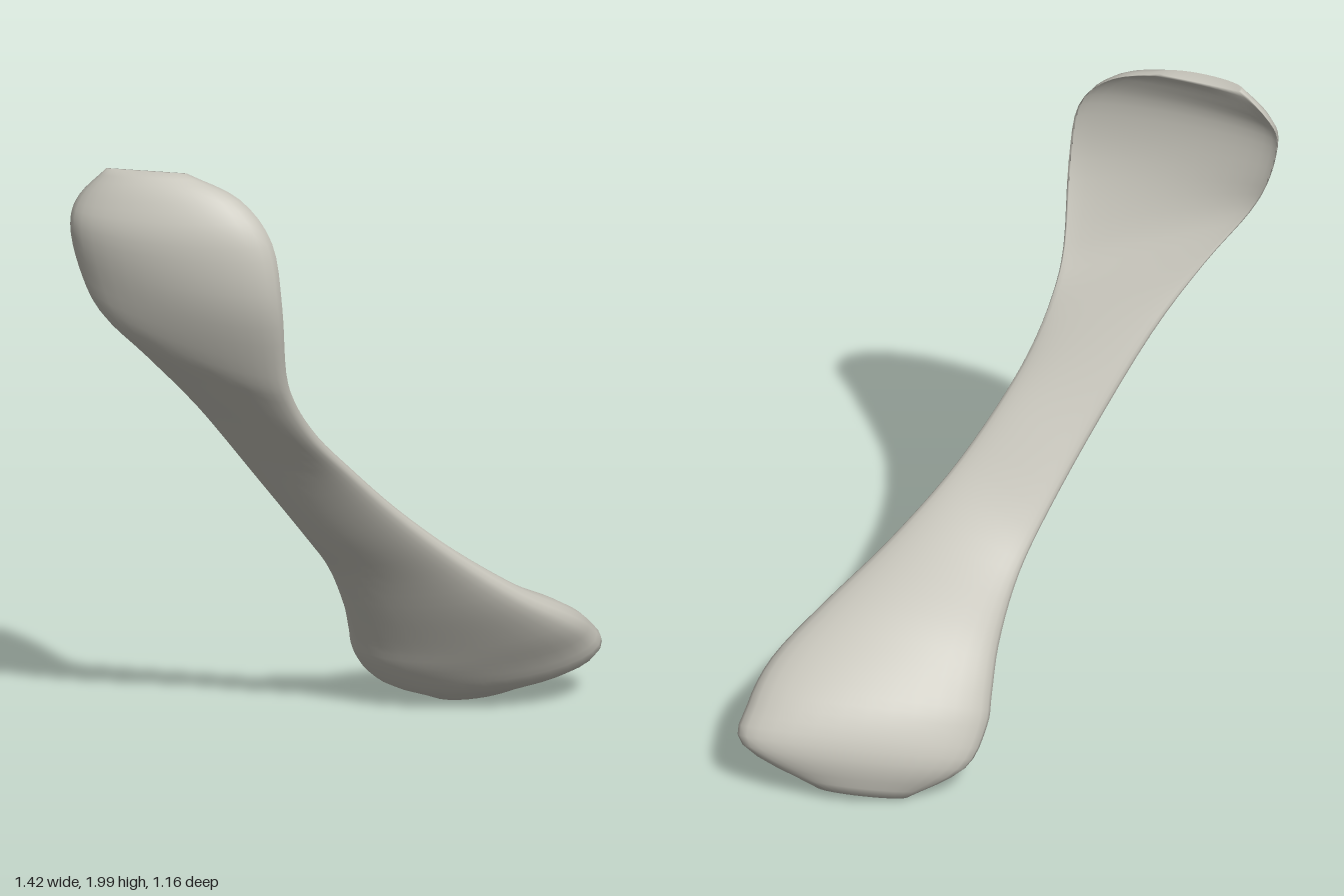
import * as THREE from 'three';

// Cross-sections from the top blade to the thick lower end:
// left edge x,y,z | right edge x,y,z | front bulge, back bulge, tilt (degrees)
const SECTIONS = [
  [-0.60, 1.99, 0.42, -0.36, 2.00, 0.45, 0.015, -0.01, -20],
  [-0.68, 1.90, 0.41, -0.20, 1.94, 0.48, 0.07, -0.045, -10],
  [-0.705, 1.82, 0.42, -0.10, 1.82, 0.51, 0.095, -0.065, 0],
  [-0.68, 1.69, 0.42, -0.07, 1.62, 0.51, 0.087, -0.055, 8],
  [-0.62, 1.56, 0.43, -0.07, 1.38, 0.43, 0.062, -0.035, 19],
  [-0.50, 1.41, 0.37, -0.05, 1.25, 0.36, 0.044, -0.01, 27],
  [-0.36, 1.21, 0.27, 0.00, 1.11, 0.27, 0.03, 0.012, 32],
  [-0.20, 0.92, 0.12, 0.08, 0.97, 0.16, 0.02, 0.02, 32],
  [-0.08, 0.68, -0.03, 0.20, 0.80, 0.04, 0.027, 0.018, 33],
  [-0.03, 0.55, -0.13, 0.36, 0.62, -0.08, 0.037, 0.037, 33],
  [0.00, 0.40, -0.22, 0.53, 0.46, -0.20, 0.055, 0.067, 33],
  [0.005, 0.28, -0.30, 0.65, 0.35, -0.33, 0.085, 0.097, 33],
  [0.01, 0.20, -0.35, 0.70, 0.26, -0.45, 0.11, 0.105, 30],
  [0.06, 0.10, -0.43, 0.70, 0.17, -0.53, 0.115, 0.075, 25],
  [0.22, 0.015, -0.48, 0.48, 0.05, -0.53, 0.05, 0.02, 10],
];

const STEPS = 4; // rows between neighbouring sections
const SIDES = 32; // points around each section
const RIM = 0.014; // half thickness of the rounded edges

function curveFrom(offset) {
  const points = SECTIONS.map((s) => new THREE.Vector3().fromArray(s, offset));
  return new THREE.CatmullRomCurve3(points, false, 'catmullrom', 0.5);
}

function boneGeometry() {
  const leftEdge = curveFrom(0);
  const rightEdge = curveFrom(3);
  const shape = curveFrom(6);
  const rows = (SECTIONS.length - 1) * STEPS;
  const positions = [];
  const index = [];

  for (let i = 0; i <= rows; i++) {
    const left = leftEdge.getPoint(i / rows);
    const right = rightEdge.getPoint(i / rows);
    const { x: front, y: back, z: tilt } = shape.getPoint(i / rows);
    const middle = left.clone().lerp(right, 0.5);
    const half = right.clone().sub(middle);
    // Thickness direction, kept square to the line between the edges
    const a = THREE.MathUtils.degToRad(tilt);
    const normal = new THREE.Vector3(0, -Math.sin(a), Math.cos(a));
    normal.projectOnPlane(half.clone().normalize()).normalize();

    for (let j = 0; j < SIDES; j++) {
      const angle = (j / SIDES) * Math.PI * 2;
      const s = Math.sin(angle);
      const rim = Math.sign(s) * Math.sqrt(Math.abs(s)) * RIM;
      const p = middle.clone()
        .addScaledVector(half, Math.cos(angle))
        .addScaledVector(normal, s * (s > 0 ? front : back) + rim);
      positions.push(p.x, p.y, p.z);
    }
  }

  // Skin between rows
  for (let i = 0; i < rows; i++) {
    for (let j = 0; j < SIDES; j++) {
      const k = (j + 1) % SIDES;
      const a = i * SIDES + j, b = i * SIDES + k;
      const c = a + SIDES, d = b + SIDES;
      index.push(a, b, c, b, d, c);
    }
  }

  // Close both ends by joining front points to the back points opposite
  const last = rows * SIDES;
  for (let j = 0; j < SIDES / 2; j++) {
    const a = j, b = j + 1;
    const c = (SIDES - j) % SIDES, d = SIDES - j - 1;
    index.push(a, c, b, b, c, d);
    index.push(last + a, last + b, last + c, last + b, last + d, last + c);
  }

  const geometry = new THREE.BufferGeometry();
  geometry.setAttribute('position', new THREE.Float32BufferAttribute(positions, 3));
  geometry.setIndex(index);

  // Stand on the ground, centred
  geometry.computeBoundingBox();
  const { min, max } = geometry.boundingBox;
  geometry.translate(-(min.x + max.x) / 2, -min.y, -(min.z + max.z) / 2);
  geometry.computeVertexNormals();
  return geometry;
}

export function createModel() {
  const boneMaterial = new THREE.MeshStandardMaterial({ color: 0xc8c6bc });
  boneMaterial.name = 'bone grey';

  const bone = new THREE.Mesh(boneGeometry(), boneMaterial);
  bone.name = 'bladeBone';

  const model = new THREE.Group();
  model.name = 'bone';
  model.add(bone);
  return model;
}
